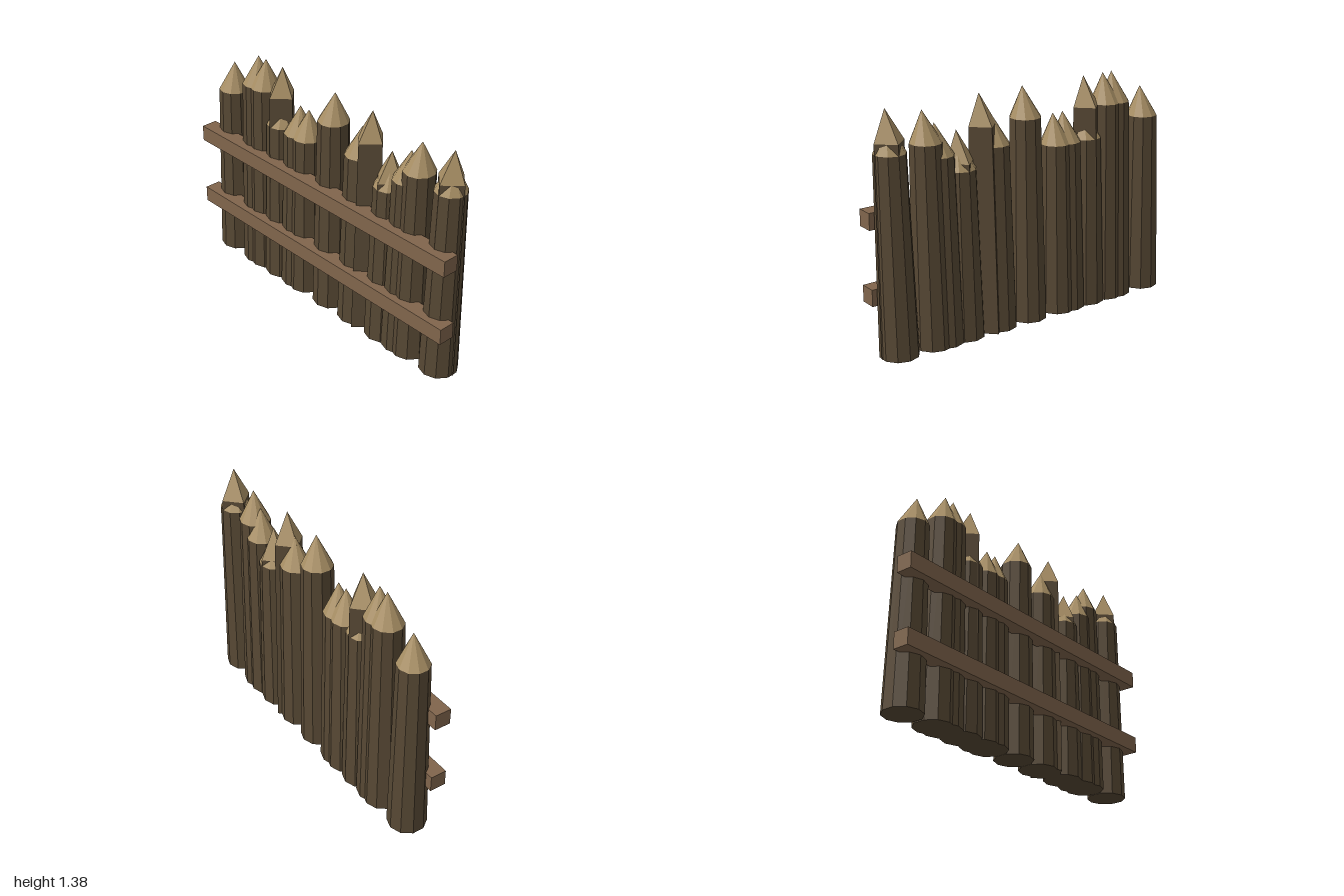
import * as THREE from 'three';

// Tapered geometry standing on y = 0 whose top leans by dx, dz
function leaning(rTop, rBottom, height, sides, dx, dz, open) {
  const g = new THREE.CylinderGeometry(rTop, rBottom, height, sides, 1, open);
  g.translate(0, height / 2, 0);
  const p = g.attributes.position;
  for (let i = 0; i < p.count; i++) {
    const t = p.getY(i) / height;
    p.setX(i, p.getX(i) + dx * t);
    p.setZ(i, p.getZ(i) + dz * t);
  }
  const flat = g.toNonIndexed();
  flat.computeVertexNormals();
  return flat;
}

export function createModel() {
  const model = new THREE.Group();
  model.name = 'palisadeFence';
  const material = (name, color) => {
    const m = new THREE.MeshStandardMaterial({ color });
    m.name = name;
    return m;
  };
  const bark = material('dark bark', 0x574834);
  const cut = material('cut wood', 0xa88f65);
  const plank = material('rail wood', 0x80654c);

  // Sharpened stakes: [base x, shoulder height, sides]
  const stakes = [
    [-0.87, 1.085, 10],
    [-0.645, 1.2, 10],
    [-0.58, 1.2, 10],
    [-0.435, 1.2, 4],
    [-0.435, 1.015, 10],
    [-0.285, 1.015, 10],
    [-0.215, 1.015, 10],
    [0.0, 1.2, 10],
    [0.29, 1.2, 4],
    [0.215, 1.08, 10],
    [0.44, 1.02, 4],
    [0.44, 0.98, 10],
    [0.578, 1.08, 10],
    [0.652, 1.16, 10],
    [0.872, 1.2, 4],
    [0.872, 1.14, 10],
  ];
  const lean = 0.018, z = -0.0125;
  stakes.forEach(([x, h, sides], i) => {
    const stake = new THREE.Group();
    stake.name = `stake${i + 1}`;
    stake.position.set(x, 0, z);

    const log = new THREE.Mesh(leaning(0.091, 0.112, h, sides, lean, 0, false), bark);
    log.name = 'log';

    const tip = new THREE.Mesh(leaning(0, 0.091, 0.177, sides, lean, 0.005, true), cut);
    tip.name = 'sharpenedTip';
    tip.position.set(lean, h, 0);

    stake.add(log, tip);
    model.add(stake);
  });

  // Two horizontal rails across the front
  [['lowerRail', 0.343], ['upperRail', 0.773]].forEach(([name, y]) => {
    const rail = new THREE.Mesh(new THREE.BoxGeometry(2, 0.096, 0.097), plank);
    rail.name = name;
    rail.position.set(0, y, 0.082);
    model.add(rail);
  });

  return model;
}
